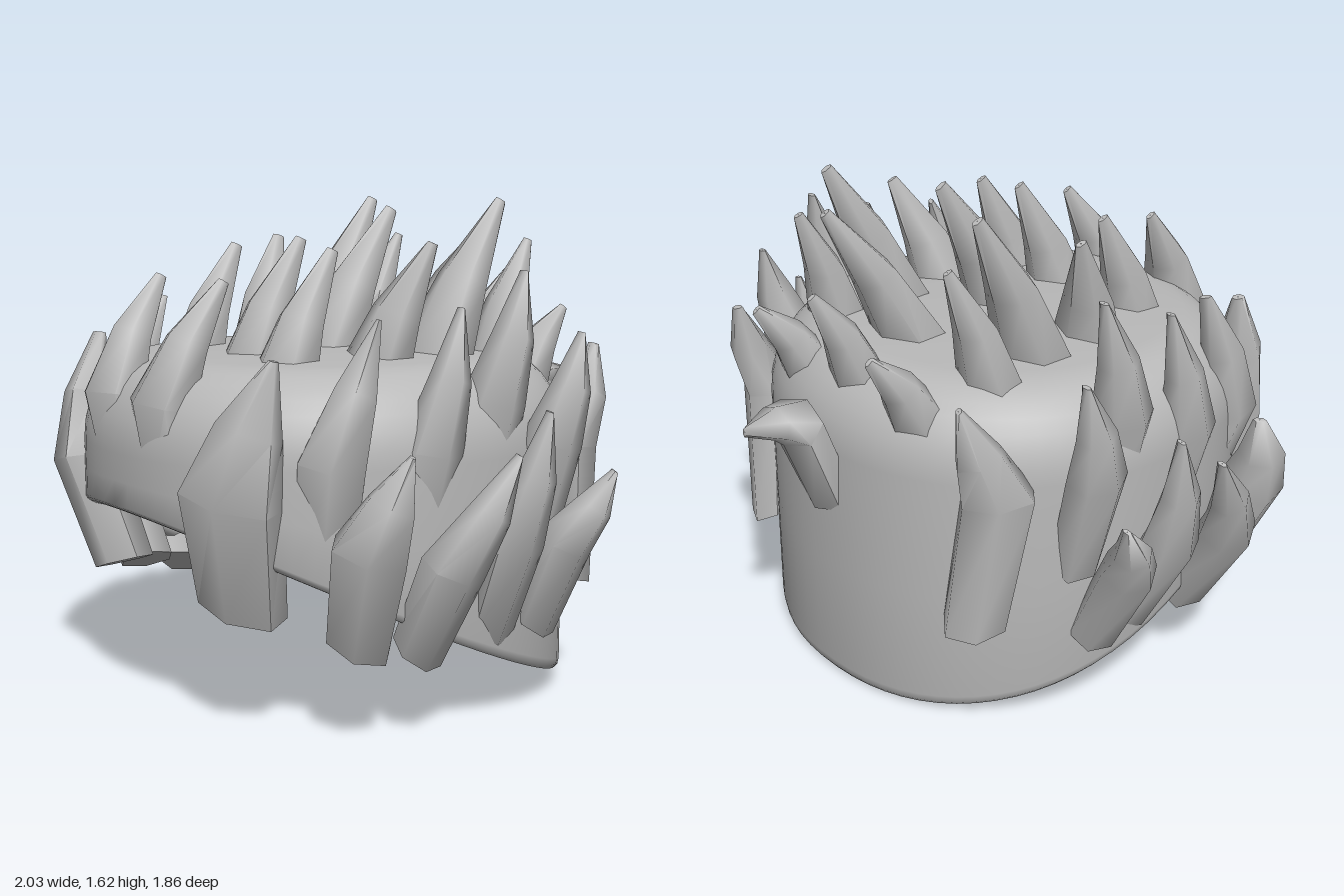
import * as THREE from 'three';
import { toCreasedNormals } from 'three/addons/utils/BufferGeometryUtils.js';

const V = (p) => new THREE.Vector3(p[0], p[1], p[2]);

function surface(positions, index, crease) {
  const g = new THREE.BufferGeometry();
  g.setAttribute('position', new THREE.Float32BufferAttribute(positions, 3));
  g.setIndex(index);
  return toCreasedNormals(g, crease);
}

// Joins consecutive rings of equal size into quads
function stitch(rows, n) {
  const index = [];
  for (let j = 0; j < rows - 1; j++) {
    for (let i = 0; i < n; i++) {
      const a = j * n + i, b = j * n + (i + 1) % n;
      index.push(a, b, b + n, a, b + n, a + n);
    }
  }
  return index;
}

// Hollow cap: rounded plan, domed top, rolled hem sloping up to the front
function capGeometry() {
  const N = 72, RX = 0.78, RZ = 0.785, CZ = 0.13, E = 2 / 2.15;
  const hem = (z) => 0.67 * Math.pow(Math.max(0, (z + 0.655) / 1.57), 1.3);
  // [plan scale, height, blend towards the hem]
  const profile = [[0.001, 1.06, 0], [0.65, 1.05, 0], [0.84, 0.98, 0], [0.92, 0.84, 0],
    [0.925, 0.84, 0.5], [0.925, 0.84, 0.94], [0.935, 0.84, 0.98], [0.955, 0.84, 1],
    [0.98, 0.84, 1], [0.995, 0.84, 0.98], [1, 0.84, 0.95], [1, 0.84, 0.5], [1, 0.84, 0]];
  for (let k = 1; k <= 8; k++) {
    const a = (k / 8) * Math.PI / 2;
    profile.push([0.7 + 0.3 * Math.cos(a), 0.84 + 0.28 * Math.sin(a), 0]);
  }
  profile.push([0.35, 1.137, 0], [0.001, 1.14, 0]);
  const pos = [];
  for (const [s, y, t] of profile) {
    for (let i = 0; i < N; i++) {
      const a = -(i / N) * Math.PI * 2, c = Math.cos(a), d = Math.sin(a);
      const x = RX * s * Math.sign(c) * Math.pow(Math.abs(c), E);
      const z = CZ + RZ * s * Math.sign(d) * Math.pow(Math.abs(d), E);
      pos.push(x, y * (1 - t) + hem(z) * t, z);
    }
  }
  return surface(pos, stitch(profile.length, N), 0.9);
}

// Bent six-sided spike through base, middle and tip; a ridge faces "out"
function spikeGeometry(base, mid, tip, out, w, d) {
  const N = 6, b = V(base), m = V(mid), p = V(tip), o = V(out);
  const low = m.clone().sub(b).normalize(), high = p.clone().sub(m).normalize();
  const bend = low.clone().add(high).normalize();
  // slanted foot, lower at the back and outside
  const cut = low.clone().add(new THREE.Vector3(0, 0.1, -0.35)).addScaledVector(o, 0.2).normalize();
  const rings = [
    [b, cut, 0.01, 0.01], [b, cut, 0.86, 0.9], [m, bend, 1, 1],
    [m.clone().lerp(p, 0.5).addScaledVector(o, 0.02), high, 0.64, 0.7],
    [p, high, 0.08, 0.2], [p, high, 0.01, 0.01],
  ];
  const pos = [];
  for (const [c, axis, sw, sd] of rings) {
    const t = new THREE.Vector3().crossVectors(o, axis).normalize();
    const n = new THREE.Vector3().crossVectors(axis, t);
    for (let i = 0; i < N; i++) {
      const a = Math.PI / 6 + (i / N) * Math.PI * 2;
      const q = c.clone().addScaledVector(t, Math.cos(a) * w * sw * 1.15).addScaledVector(n, Math.sin(a) * d * sd);
      pos.push(q.x, q.y, q.z);
    }
  }
  return surface(pos, stitch(rings.length, N), 1.2);
}

export function createModel() {
  const model = new THREE.Group();
  const grey = new THREE.MeshStandardMaterial({ color: 0xb8b8b8 });
  grey.name = 'grey';

  const add = (name, geometry) => {
    const mesh = new THREE.Mesh(geometry, grey);
    mesh.name = name;
    model.add(mesh);
  };
  const spike = (name, base, mid, tip, out, w, d) =>
    add(name, spikeGeometry(base, mid, tip, out, w, d));
  const flip = ([x, y, z]) => [-x, y, z];
  const pair = (name, base, mid, tip, out, w, d) => {
    spike(name + 'Left', base, mid, tip, out, w, d);
    spike(name + 'Right', flip(base), flip(mid), flip(tip), flip(out), w, d);
  };

  add('cap', capGeometry());

  // Lower side spikes, standing off the hem
  const side = [1, 0, 0];
  pair('frontLockSpike', [0.39, 0.39, 0.69], [0.48, 0.75, 0.78], [0.56, 1.16, 0.68], [0.5, 0, 0.87], 0.15, 0.11);
  pair('lowerSpikeA', [0.67, 0.31, 0.46], [0.8, 0.62, 0.51], [0.88, 0.9, 0.42], [0.8, 0, 0.6], 0.11, 0.11);
  pair('lowerSpikeB', [0.72, 0.27, 0.28], [0.89, 0.56, 0.28], [0.98, 0.89, 0.11], side, 0.09, 0.09);
  pair('lowerSpikeC', [0.71, 0.3, 0.0], [0.86, 0.6, 0.03], [0.94, 1.0, -0.04], side, 0.09, 0.09);
  pair('lowerSpikeD', [0.73, 0.3, -0.17], [0.87, 0.58, -0.17], [0.96, 0.8, -0.29], side, 0.08, 0.09);

  // Upper side spikes
  pair('upperSpikeA', [0.56, 0.54, 0.5], [0.65, 0.85, 0.54], [0.66, 1.27, 0.38], [0.8, 0, 0.6], 0.1, 0.1);
  pair('upperSpikeB', [0.64, 0.55, 0.24], [0.73, 0.88, 0.24], [0.73, 1.3, 0.13], side, 0.09, 0.09);
  pair('upperSpikeC', [0.62, 0.68, -0.02], [0.69, 1.0, -0.03], [0.7, 1.4, -0.14], side, 0.09, 0.1);
  pair('upperSpikeD', [0.67, 0.54, -0.2], [0.76, 0.87, -0.21], [0.79, 1.21, -0.3], side, 0.09, 0.09);
  pair('rearSideSpike', [0.53, 0.37, -0.5], [0.58, 0.82, -0.45], [0.55, 1.14, -0.58], [0.75, 0, -0.66], 0.11, 0.09);

  // Top spikes in pairs, leaning back
  const front = [0, 0, 1];
  pair('fringeSpike', [0.15, 0.72, 0.78], [0.16, 1.0, 0.83], [0.2, 1.37, 0.63], front, 0.11, 0.1);
  pair('crownSpikeA', [0.18, 0.54, 0.44], [0.28, 1.02, 0.48], [0.29, 1.46, 0.29], front, 0.11, 0.11);
  pair('crownSpikeB', [0.24, 0.55, 0.16], [0.34, 1.04, 0.18], [0.45, 1.48, 0.02], front, 0.12, 0.11);
  pair('crownSpikeC', [0.26, 0.6, 0.0], [0.34, 1.1, -0.07], [0.36, 1.61, -0.33], front, 0.13, 0.11);
  pair('crownSpikeD', [0.33, 0.65, -0.22], [0.38, 1.07, -0.29], [0.36, 1.48, -0.45], front, 0.11, 0.09);
  pair('crownSpikeE', [0.24, 0.7, -0.4], [0.27, 1.0, -0.5], [0.28, 1.24, -0.69], front, 0.1, 0.09);

  // Top spikes along the middle
  spike('middleSpikeA', [0.03, 0.51, 0.43], [0.05, 1.04, 0.46], [0.08, 1.49, 0.27], front, 0.11, 0.11);
  spike('middleSpikeB', [0.04, 0.54, 0.18], [0.04, 1.08, 0.16], [0.04, 1.58, -0.12], front, 0.12, 0.12);
  spike('middleSpikeC', [0.03, 0.6, -0.16], [0.05, 1.1, -0.25], [0.1, 1.57, -0.54], front, 0.13, 0.1);
  spike('middleSpikeD', [0, 0.7, -0.38], [0, 1.04, -0.5], [0, 1.36, -0.68], front, 0.1, 0.09);

  // Bent spike at the back
  spike('backSpike', [0.04, 0.65, -0.61], [0.03, 0.95, -0.74], [0.03, 0.98, -0.93], [0, 0.3, 0.95], 0.11, 0.08);

  return model;
}
